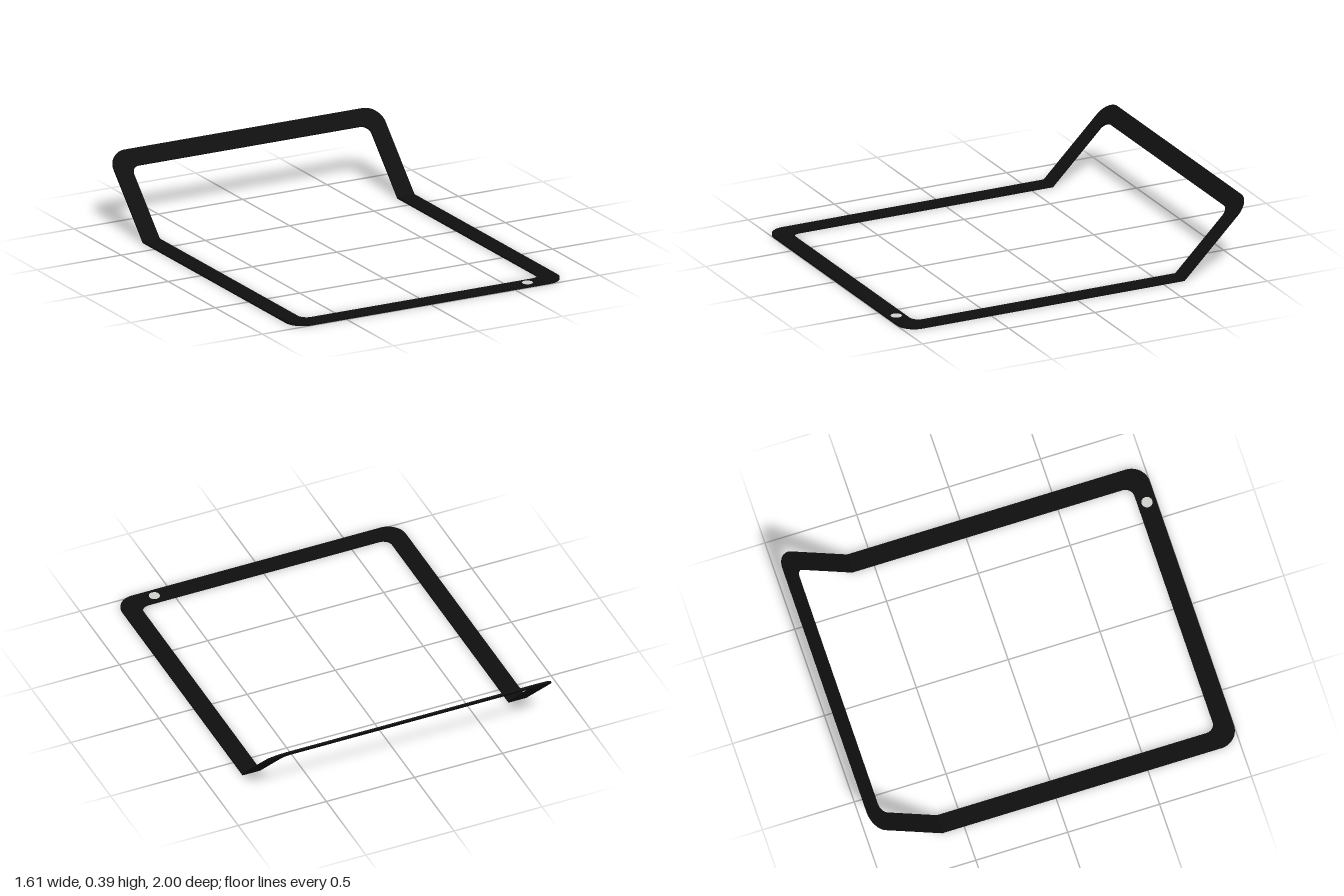
import * as THREE from 'three';
import { toCreasedNormals } from 'three/addons/utils/BufferGeometryUtils.js';

const HALF_WIDTH = 0.805, BAR = 0.1, THICK = 0.01;
const FOLD_Z = -0.62, FOLD_ANGLE = Math.PI / 4;
const OUTER_R = 0.1, INNER_R = 0.05;

// U-shaped half of the frame: open at the fold (y = 0), rounded at its far end
function halfFrame(length) {
  const w = HALF_WIDTH, i = w - BAR, l = length - BAR;
  const s = new THREE.Shape();
  s.moveTo(w, 0);
  s.lineTo(w, length - OUTER_R);
  s.absarc(w - OUTER_R, length - OUTER_R, OUTER_R, 0, Math.PI / 2, false);
  s.absarc(-w + OUTER_R, length - OUTER_R, OUTER_R, Math.PI / 2, Math.PI, false);
  s.lineTo(-w, 0);
  s.lineTo(-i, 0);
  s.lineTo(-i, l - INNER_R);
  s.absarc(-i + INNER_R, l - INNER_R, INNER_R, Math.PI, Math.PI / 2, true);
  s.absarc(i - INNER_R, l - INNER_R, INNER_R, Math.PI / 2, 0, true);
  s.lineTo(i, 0);
  s.closePath();
  const geo = new THREE.ExtrudeGeometry(s, { depth: THICK, bevelEnabled: false, curveSegments: 10 });

  // mitre the open ends so both halves meet along the crease
  const p = geo.attributes.position;
  for (let k = 0; k < p.count; k++) {
    if (Math.abs(p.getY(k)) < 1e-6) p.setY(k, p.getZ(k) * Math.tan(FOLD_ANGLE / 2));
  }
  return toCreasedNormals(geo, 0.6);
}

export function createModel() {
  const black = new THREE.MeshStandardMaterial({ name: 'black', color: 0x0f0f0f });
  const paleGrey = new THREE.MeshStandardMaterial({ name: 'pale grey', color: 0xcfd0cb });
  const group = new THREE.Group();
  group.name = 'foldedFrame';

  // flat part lying on the ground
  const flat = new THREE.Mesh(halfFrame(1 - FOLD_Z), black);
  flat.name = 'flatFrame';
  flat.rotation.set(-Math.PI / 2, 0, Math.PI);
  flat.position.z = FOLD_Z;

  // rear part raised at the crease
  const raised = new THREE.Mesh(halfFrame((1 + FOLD_Z) / Math.cos(FOLD_ANGLE)), black);
  raised.name = 'raisedFrame';
  raised.rotation.x = FOLD_ANGLE - Math.PI / 2;
  raised.position.z = FOLD_Z;

  // small round button on the front bar
  const button = new THREE.Mesh(new THREE.CylinderGeometry(0.029, 0.029, 0.003, 20), paleGrey);
  button.name = 'button';
  button.position.set(0.6, THICK + 0.0005, 0.95);

  group.add(flat, raised, button);
  return group;
}
